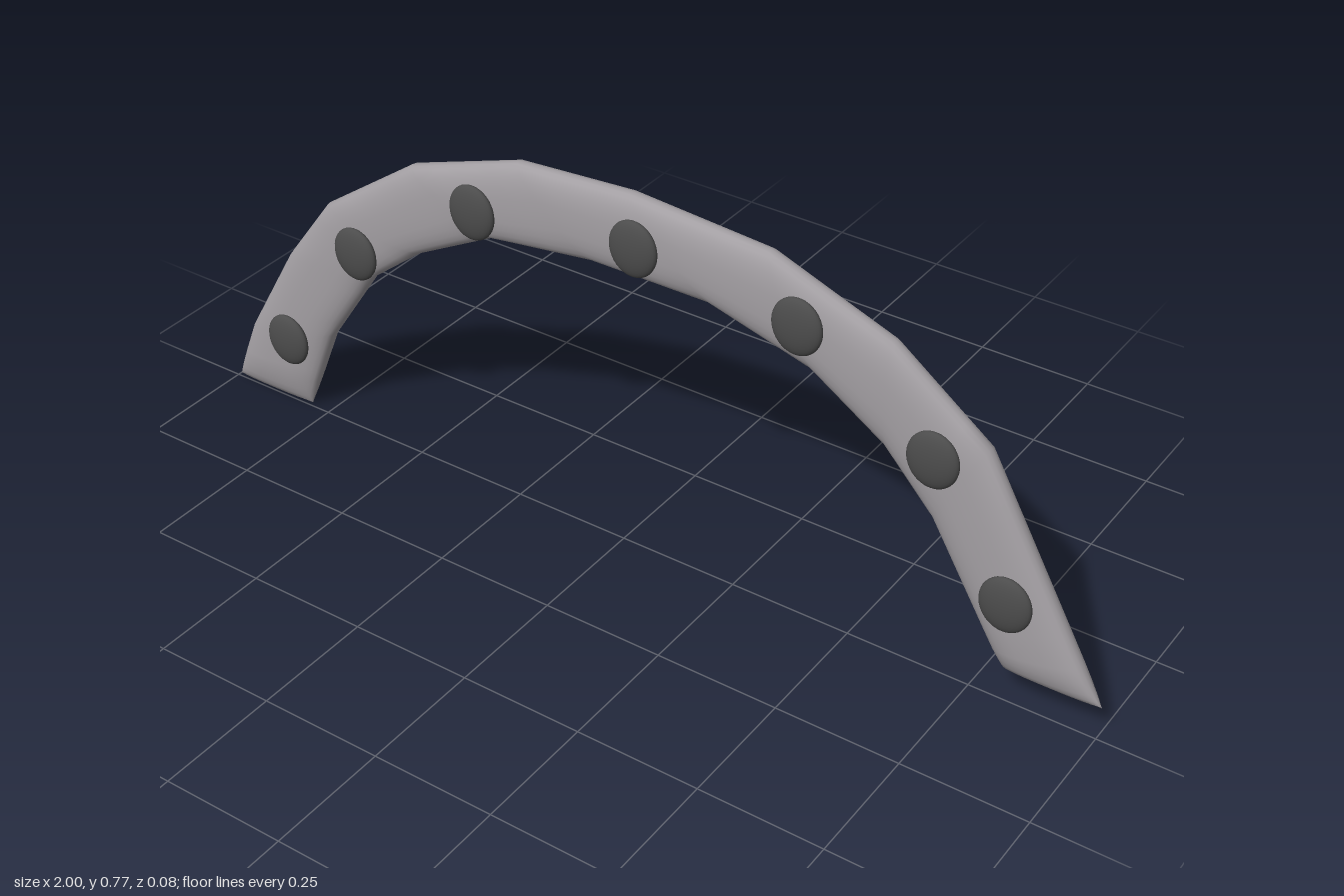
import * as THREE from 'three';

// Matching points on the outer and inner edge of the arch, from right foot to left foot
const OUTER = [[-1, 0], [-0.94, 0.15], [-0.82, 0.36], [-0.71, 0.51], [-0.49, 0.665], [-0.24, 0.75],
  [0.01, 0.767], [0.3, 0.747], [0.55, 0.655], [0.746, 0.51], [1, 0.063]];
const INNER = [[-0.8, 0], [-0.72, 0.2], [-0.6, 0.38], [-0.48, 0.475], [-0.3, 0.57], [-0.07, 0.6],
  [0.19, 0.6], [0.4, 0.54], [0.55, 0.44], [0.65, 0.33], [0.81, 0.063]];
const CENTRE_Z = -0.01, HALF_DEPTH = 0.03, SIDES = 28;

const lerp = THREE.MathUtils.lerp;
const power = (v, p) => Math.sign(v) * Math.abs(v) ** p;

// Pillow-shaped band: rounded sections that pinch flat at both feet
function bandGeometry() {
  const last = OUTER.length - 1;
  const stations = [];
  for (let i = 0; i < last; i++) {
    const length = Math.hypot(OUTER[i + 1][0] - OUTER[i][0], OUTER[i + 1][1] - OUTER[i][1]);
    const steps = [0, 0.25, 0.5, 0.75];
    const taper = [0, 0.004, 0.015, 0.03, 0.055, 0.085].map((d) => d / length);
    if (i === 0) stations.push(...taper);
    else if (i === last - 1) stations.push(...[0, 0.25, 0.5, 0.7, ...taper.map((t) => 1 - t).reverse()].map((t) => i + t));
    else stations.push(...steps.map((t) => i + t));
  }

  const positions = [], index = [];
  stations.forEach((s, row) => {
    const i = Math.min(Math.floor(s), last - 1), t = s - i;
    const at = (edge, k) => lerp(edge[i][k], edge[i + 1][k], t);
    const span = (k) => Math.hypot(OUTER[k + 1][0] - OUTER[k][0], OUTER[k + 1][1] - OUTER[k][1]);
    const toFoot = Math.min(i === 0 ? t * span(0) : 1, i === last - 1 ? (1 - t) * span(i) : 1);
    const pinch = Math.sqrt(Math.max(0, 1 - Math.max(0, 1 - toFoot / 0.11) ** 2));
    for (let j = 0; j < SIDES; j++) {
      const a = (j / SIDES) * Math.PI * 2;
      const across = 0.5 - 0.5 * power(Math.cos(a), 0.8);
      positions.push(
        lerp(at(OUTER, 0), at(INNER, 0), across),
        lerp(at(OUTER, 1), at(INNER, 1), across),
        CENTRE_Z + HALF_DEPTH * pinch * power(Math.sin(a), 0.8));
      if (row < stations.length - 1) {
        const p = row * SIDES + j, q = row * SIDES + (j + 1) % SIDES;
        index.push(p, q, p + SIDES, q, q + SIDES, p + SIDES);
      }
    }
  });
  const geometry = new THREE.BufferGeometry();
  geometry.setAttribute('position', new THREE.Float32BufferAttribute(positions, 3));
  geometry.setIndex(index);
  geometry.computeVertexNormals();
  return geometry;
}

export function createModel() {
  const bandGrey = new THREE.MeshStandardMaterial({ color: 0xa39fa3 });
  bandGrey.name = 'band grey';
  const studGrey = new THREE.MeshStandardMaterial({ color: 0x4c4c4c });
  studGrey.name = 'stud dark grey';

  const model = new THREE.Group();
  model.name = 'studdedArch';

  const band = new THREE.Mesh(bandGeometry(), bandGrey);
  band.name = 'archBand';
  model.add(band);

  // Flattened oval studs along the front
  const studs = new THREE.Group();
  studs.name = 'studs';
  const ball = new THREE.SphereGeometry(1, 32, 20);
  const centres = [[-0.82, 0.168], [-0.62, 0.44], [-0.325, 0.63], [0.037, 0.675],
    [0.378, 0.637], [0.655, 0.47], [0.815, 0.23]];
  centres.forEach(([x, y], i) => {
    const stud = new THREE.Mesh(ball, studGrey);
    stud.name = `stud${i + 1}`;
    stud.position.set(x, y, 0.025);
    stud.scale.set(0.051, 0.057, 0.017);
    studs.add(stud);
  });
  model.add(studs);
  return model;
}
